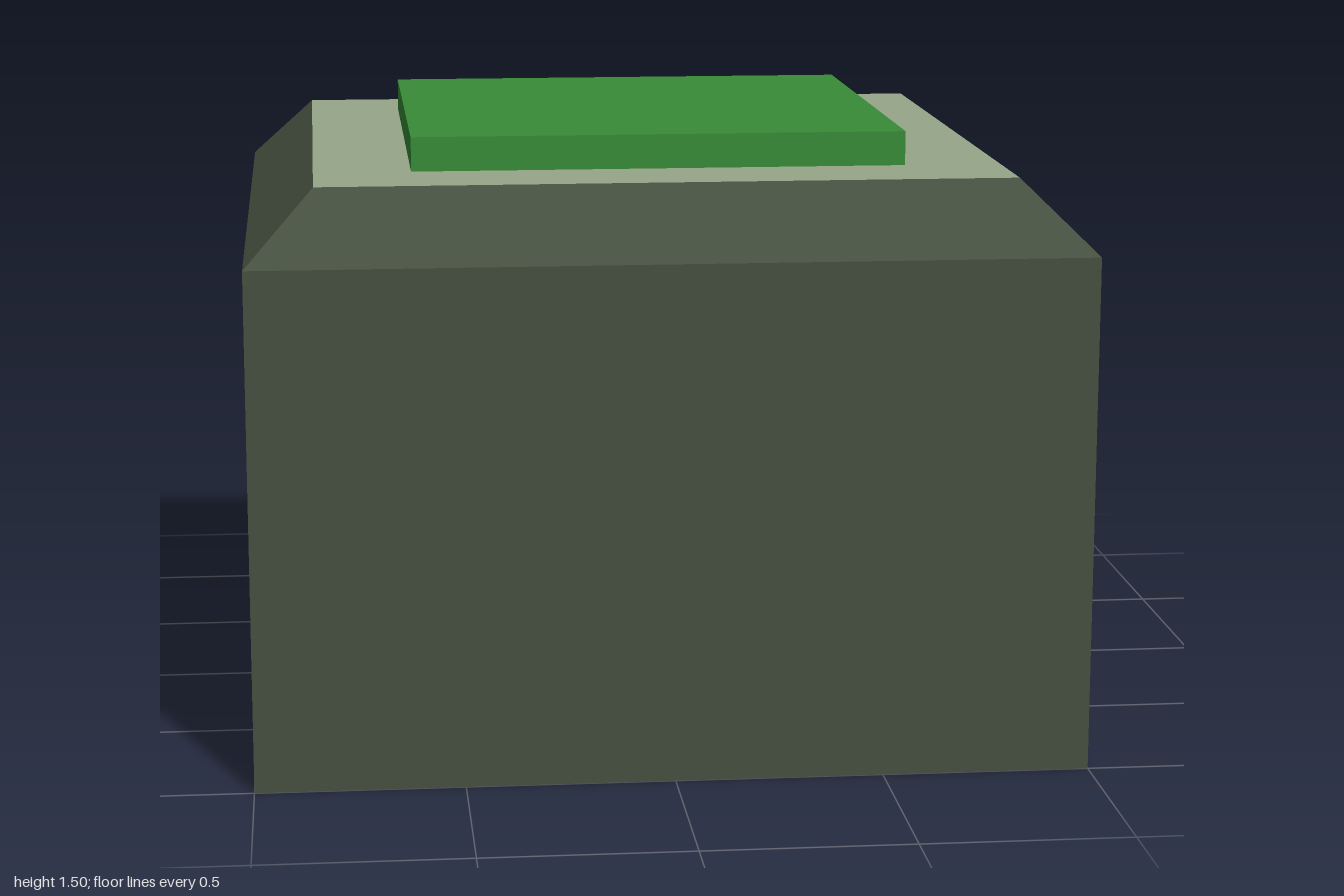
import * as THREE from 'three';

// Open four-sided ring of walls, half-widths given at bottom and top
function squareRing(bottomHalf, topHalf, y0, y1) {
  const g = new THREE.CylinderGeometry(
    topHalf * Math.SQRT2, bottomHalf * Math.SQRT2, y1 - y0, 4, 1, true);
  g.rotateY(Math.PI / 4);
  g.translate(0, (y0 + y1) / 2, 0);
  const flat = g.toNonIndexed();
  flat.computeVertexNormals();
  return flat;
}

export function createModel() {
  const group = new THREE.Group();
  const material = (name, color) =>
    new THREE.MeshStandardMaterial({ name, color, side: THREE.DoubleSide });
  const darkOlive = material('dark olive', 0x465040);
  const paleSage = material('pale sage', 0x96a589);
  const green = material('green', 0x388c38);

  const add = (name, geometry, mat) => {
    const mesh = new THREE.Mesh(geometry, mat);
    mesh.name = name;
    group.add(mesh);
  };

  const shoulderY = 1.25, topY = 1.417, topHalf = 0.835;

  // Hollow body, open underneath
  add('bodyWalls', squareRing(1, 1, 0, shoulderY), darkOlive);
  add('bevel', squareRing(1, topHalf, shoulderY, topY), darkOlive);

  // Flat top
  const top = new THREE.PlaneGeometry(topHalf * 2, topHalf * 2);
  top.rotateX(-Math.PI / 2).translate(0, topY, 0);
  add('topPlate', top, paleSage);

  // Raised square pad
  const pad = new THREE.BoxGeometry(1.2, 1.5 - topY, 1.2);
  pad.translate(0, (1.5 + topY) / 2, 0);
  add('pad', pad, green);

  return group;
}
